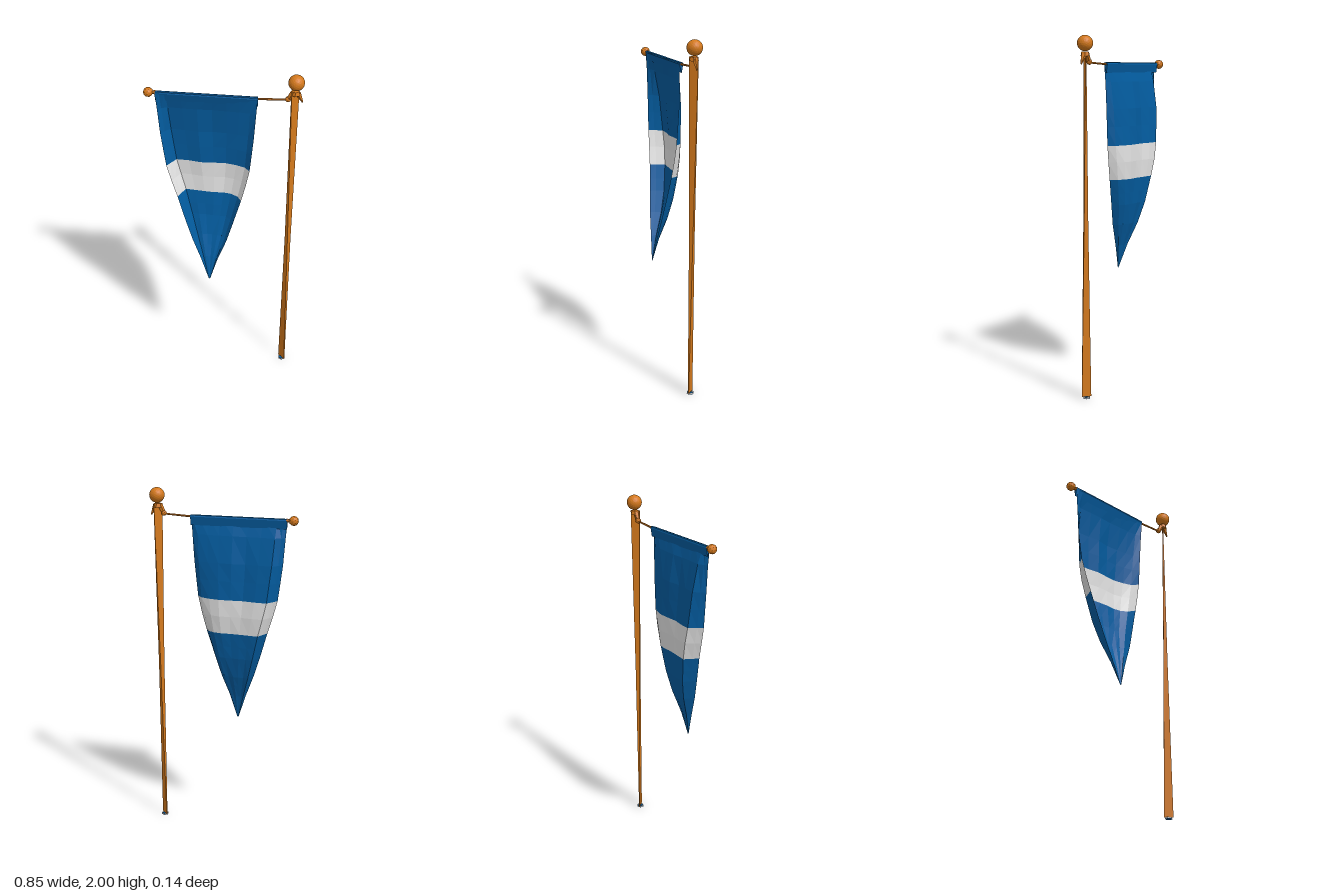
import * as THREE from 'three';

const mat = (name, color, extra = {}) => {
  const m = new THREE.MeshStandardMaterial({ color, flatShading: true, ...extra });
  m.name = name;
  return m;
};

// piecewise-linear lookup: table rows are [key, value, value, ...]
function sample(table, key, col = 1) {
  let i = 0;
  while (i < table.length - 2 && key > table[i + 1][0]) i++;
  const a = table[i], b = table[i + 1];
  return THREE.MathUtils.lerp(a[col], b[col], THREE.MathUtils.clamp((key - a[0]) / (b[0] - a[0]), 0, 1));
}

// height, left x, right x, edge z, middle z
const OUTLINE = [
  [0.662, -0.076, -0.068, 0.071, 0.071],
  [0.8, -0.122, -0.026, 0.06, 0.034],
  [0.93, -0.172, 0.024, 0.048, -0.012],
  [1.05, -0.212, 0.06, 0.034, -0.042],
  [1.2, -0.257, 0.103, 0.018, -0.062],
  [1.3, -0.29, 0.128, 0.01, -0.069],
  [1.4, -0.318, 0.148, 0.004, -0.066],
  [1.6, -0.345, 0.166, -0.002, -0.052],
  [1.75, -0.357, 0.176, -0.002, -0.028],
  [1.855, -0.366, 0.183, 0.002, 0.002],
];
// how far the cloth sags back across its width
const SAG = [[-1, 0], [-0.92, 0.45], [-0.8, 1.05], [-0.5, 0.95], [-0.2, 0.88], [0.1, 0.93], [0.4, 0.88], [0.65, 0.78], [0.87, 0.52], [1, 0]];

function clothBand(name, heights, material) {
  const pos = [], index = [], n = SAG.length;
  heights.forEach((y) => SAG.forEach(([s, w]) => {
    const [l, r, e, m] = [1, 2, 3, 4].map((c) => sample(OUTLINE, y, c));
    // shallow vertical folds, fading toward rim, bar and tip
    const fade = (1 - s * s) * THREE.MathUtils.clamp((1.855 - y) * 4, 0, 1) * THREE.MathUtils.clamp((y - 0.665) * 4, 0, 1);
    const fold = 0.005 * Math.sin(s * 7 + y * 6) * fade;
    pos.push(l + (r - l) * (s + 1) / 2, y, e + (m - e) * w + fold);
  }));
  for (let j = 0; j < heights.length - 1; j++) for (let i = 0; i < n - 1; i++) {
    const a = j * n + i, b = a + 1, c = a + n, d = c + 1;
    index.push(a, b, d, a, d, c);
  }
  const g = new THREE.BufferGeometry();
  g.setAttribute('position', new THREE.Float32BufferAttribute(pos, 3));
  g.setIndex(index);
  g.computeVertexNormals();
  const mesh = new THREE.Mesh(g, material);
  mesh.name = name;
  return mesh;
}

export function createModel() {
  const group = new THREE.Group();
  const wood = mat('orange wood', 0xd4791c);
  const blue = mat('blue cloth', 0x035c9f, { side: THREE.DoubleSide });
  const white = mat('white cloth', 0xe4e4e4, { side: THREE.DoubleSide });

  const add = (name, geometry, material, x = 0, y = 0, z = 0) => {
    const mesh = new THREE.Mesh(geometry, material);
    mesh.name = name;
    mesh.position.set(x, y, z);
    group.add(mesh);
    return mesh;
  };
  // straight rod between two points
  const rod = (name, a, b, r0, r1, sides, material) => {
    const p = new THREE.Vector3(...a), q = new THREE.Vector3(...b), d = q.clone().sub(p);
    const mesh = add(name, new THREE.CylinderGeometry(r1, r0, d.length(), sides), material);
    mesh.position.copy(p).add(q).multiplyScalar(0.5);
    mesh.quaternion.setFromUnitVectors(new THREE.Vector3(0, 1, 0), d.normalize());
  };

  // pole: flat blade with a slight waist, its wide direction turning a quarter from foot to top
  const poleGeo = new THREE.BoxGeometry(2, 1.9, 2, 1, 2, 1);
  const p = poleGeo.attributes.position;
  for (let i = 0; i < p.count; i++) {
    const t = p.getY(i) / 1.9 + 0.5, waist = 0.82 + 0.18 * Math.abs(2 * t - 1);
    const u = p.getX(i) * THREE.MathUtils.lerp(0.0025, 0.0265, t) * waist;
    const v = p.getZ(i) * THREE.MathUtils.lerp(0.0265, 0.002, t) * waist;
    p.setX(i, (u + v) * Math.SQRT1_2 + 0.371 + 0.006 * t);
    p.setZ(i, (v - u) * Math.SQRT1_2 + 0.003 - 0.006 * t);
  }
  poleGeo.computeVertexNormals();
  add('pole', poleGeo, wood, 0, 0.96, 0);

  // foot cap with a pale rim
  add('footRim', new THREE.CylinderGeometry(0.02, 0.021, 0.009, 6, 1, true), white, 0.371, 0.0055, 0.003);
  add('footCap', new THREE.CylinderGeometry(0.021, 0.021, 0.002, 6), blue, 0.371, 0.001, 0.003);

  // finials
  add('poleBall', new THREE.IcosahedronGeometry(0.043, 3), wood, 0.381, 1.957, -0.006);
  add('barBall', new THREE.IcosahedronGeometry(0.027, 1), wood, -0.402, 1.848, -0.009);

  // collar with lashing that droops to both sides of the pole
  add('collar', new THREE.CylinderGeometry(0.022, 0.027, 0.022, 6), wood, 0.378, 1.9, -0.004);
  rod('lashingInner', [0.364, 1.9, -0.004], [0.338, 1.848, -0.005], 0.015, 0.011, 5, wood);
  rod('lashingOuter', [0.392, 1.897, -0.004], [0.417, 1.846, -0.005], 0.016, 0.004, 5, wood);
  add('lashingKnot', new THREE.IcosahedronGeometry(0.016, 1), wood, 0.341, 1.858, -0.006);

  // crossbar and its end ferrule
  rod('crossbar', [0.17, 1.846, -0.009], [0.345, 1.855, -0.006], 0.006, 0.005, 6, wood);
  rod('barFerrule', [-0.385, 1.848, -0.009], [-0.362, 1.848, -0.009], 0.008, 0.012, 6, wood);

  // pennant: sleeve over the bar, tapering into the cloth below
  const section = new THREE.Shape([
    [0.009, 1.858], [0.001, 1.855], [-0.002, 1.847], [0.012, 1.8], [0.02, 1.847], [0.017, 1.855],
  ].map(([x, y]) => new THREE.Vector2(x, y)));
  const sleeve = new THREE.ExtrudeGeometry(section, { depth: 0.549, bevelEnabled: false });
  add('sleeve', sleeve, blue, -0.366).rotation.y = Math.PI / 2;

  // three colour bands of the pennant
  group.add(
    clothBand('upperCloth', [1.395, 1.5, 1.6, 1.75, 1.855], blue),
    clothBand('whiteStripe', [1.2, 1.3, 1.395], white),
    clothBand('lowerCloth', [0.662, 0.73, 0.8, 0.87, 0.93, 1.05, 1.12, 1.2], blue),
  );
  return group;
}
